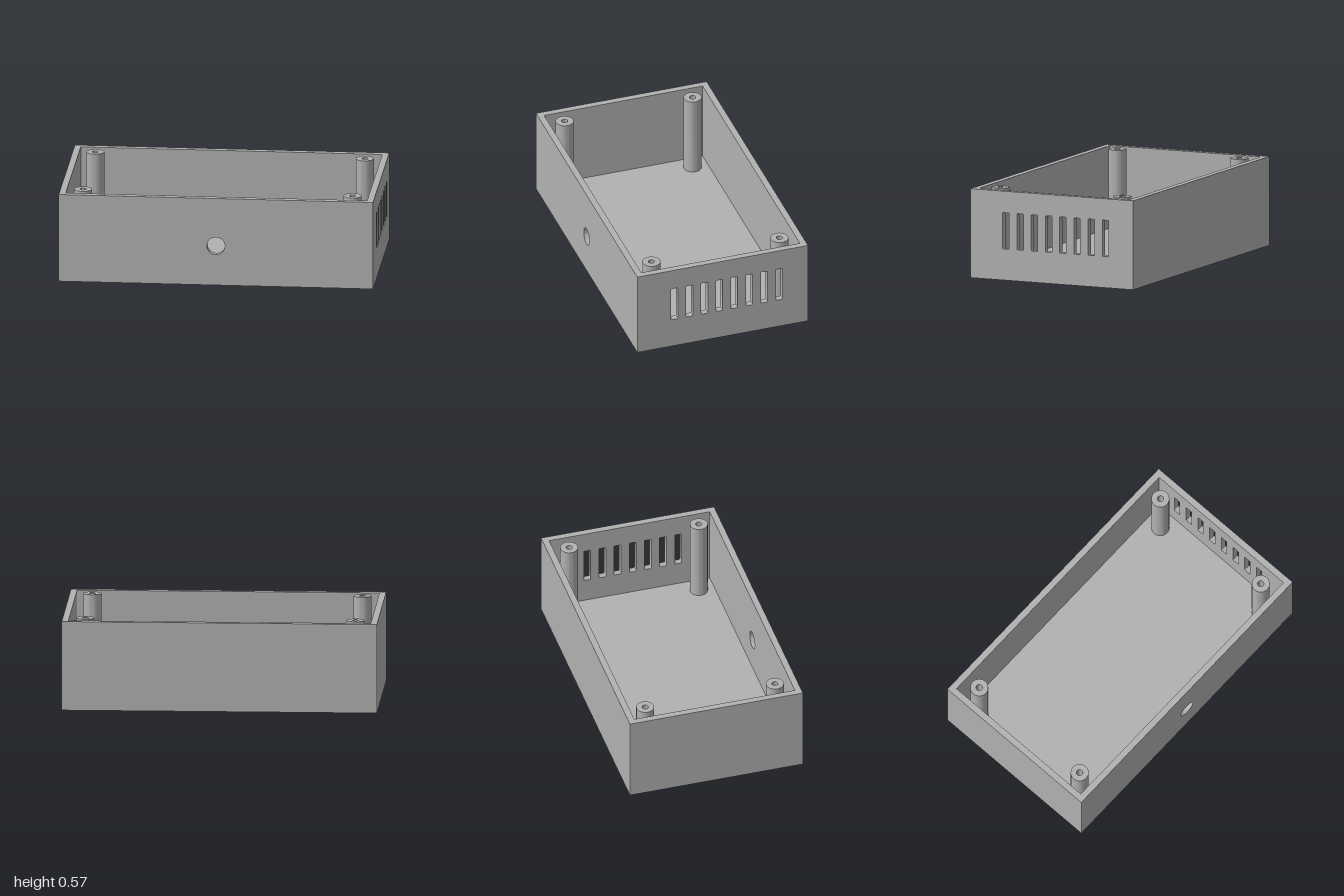
import * as THREE from 'three';
import { toCreasedNormals } from 'three/addons/utils/BufferGeometryUtils.js';

const W = 2, D = 1.142, H = 0.571, T = 0.041; // outer size and wall thickness

function rectangle(w, h) {
  return new THREE.Shape([[-w / 2, 0], [w / 2, 0], [w / 2, h], [-w / 2, h]].map(([x, y]) => new THREE.Vector2(x, y)));
}

function circle(Type, x, y, r) {
  const path = new Type();
  path.absarc(x, y, r, 0, Math.PI * 2);
  return path;
}

// Upright slot with slightly rounded corners
function slot(cx, y0, y1, w, r) {
  const a = cx - w / 2, b = cx + w / 2, p = new THREE.Path();
  p.moveTo(a + r, y0).lineTo(b - r, y0).quadraticCurveTo(b, y0, b, y0 + r);
  p.lineTo(b, y1 - r).quadraticCurveTo(b, y1, b - r, y1);
  p.lineTo(a + r, y1).quadraticCurveTo(a, y1, a, y1 - r);
  p.lineTo(a, y0 + r).quadraticCurveTo(a, y0, a + r, y0);
  return p;
}

function extrude(shape, depth, holes = []) {
  shape.holes.push(...holes);
  const g = new THREE.ExtrudeGeometry(shape, { depth, bevelEnabled: false, curveSegments: 24 });
  return toCreasedNormals(g, 0.6);
}

export function createModel() {
  const group = new THREE.Group();
  const grey = new THREE.MeshStandardMaterial({ color: 0xb2b2b2 });
  grey.name = 'grey plastic';

  const add = (name, geometry, x, y, z) => {
    const mesh = new THREE.Mesh(geometry, grey);
    mesh.name = name;
    mesh.position.set(x, y, z);
    group.add(mesh);
  };

  // Floor between the walls
  add('floor', new THREE.BoxGeometry(W - 2 * T, T, D - 2 * T), 0, T / 2, 0);

  // Front wall with a round cable hole, and plain back wall
  add('frontWall', extrude(rectangle(W, H), T, [circle(THREE.Path, 0, 0.258, 0.057)]), 0, 0, D / 2 - T);
  add('backWall', extrude(rectangle(W, H), T), 0, 0, -D / 2);

  // Left wall with a row of vent slots, and plain right wall
  const vents = [];
  for (let i = 0; i < 8; i++) vents.push(slot(-0.322 + i * 0.1, 0.2, 0.433, 0.045, 0.006));
  const side = D - 2 * T;
  add('ventedWall', extrude(rectangle(side, H), T, vents).rotateY(Math.PI / 2), W / 2 - T, 0, 0);
  add('plainWall', extrude(rectangle(side, H), T).rotateY(Math.PI / 2), -W / 2, 0, 0);

  // Four hollow screw posts, flush with the rim
  for (const x of [-0.857, 0.857]) {
    for (const z of [-0.428, 0.428]) {
      const post = extrude(circle(THREE.Shape, 0, 0, 0.057), H - T, [circle(THREE.Path, 0, 0, 0.02)]);
      add('screwPost', post.rotateX(-Math.PI / 2), x, T, z);
    }
  }
  return group;
}
